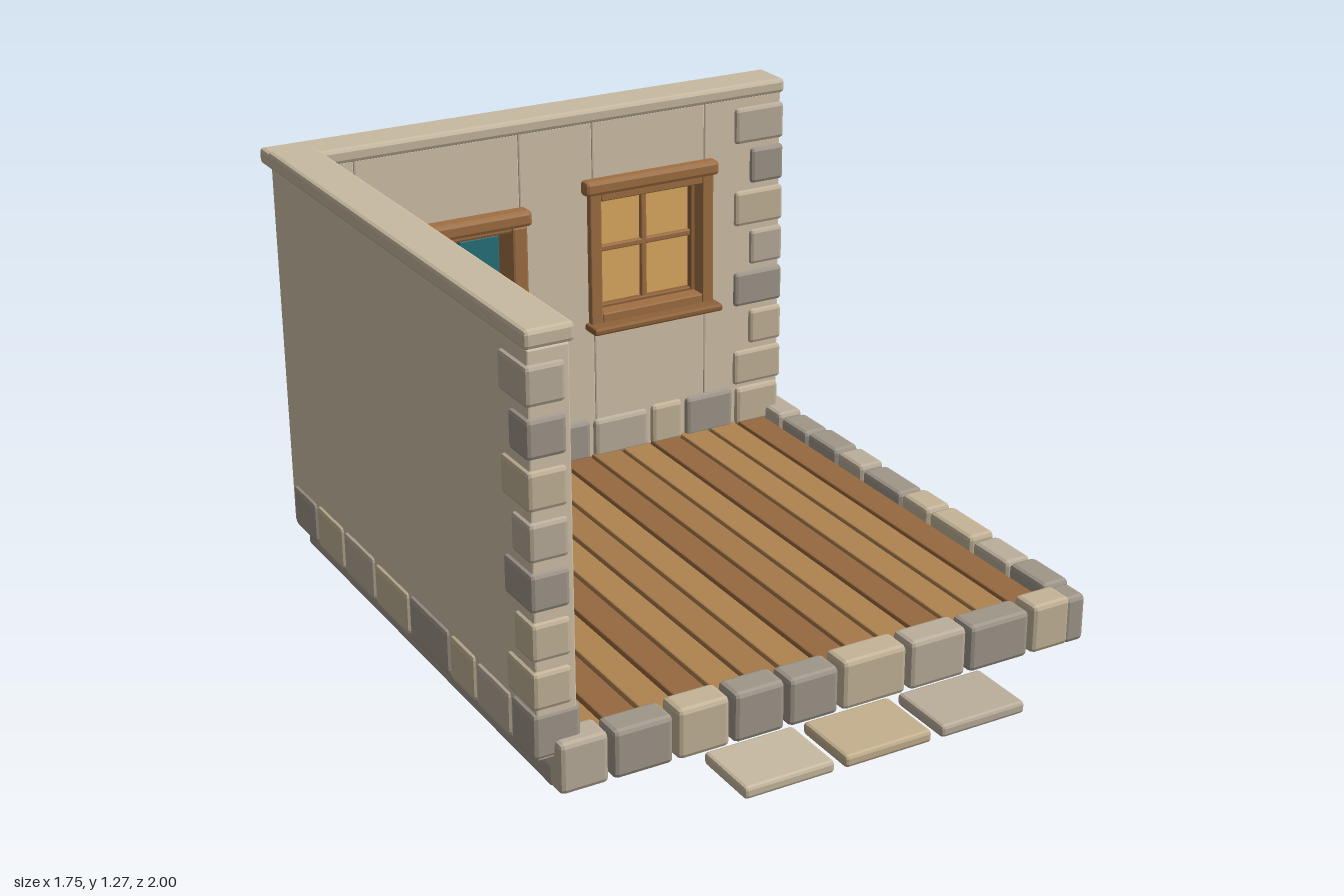
import * as THREE from 'three';
import { RoundedBoxGeometry } from 'three/addons/geometries/RoundedBoxGeometry.js';

const C = {
  wall: 0xd3c4ac, cap: 0xc8baa0, dark: 0x4a3118, frame: 0xa07043, sill: 0x8f6238,
  door: 0x25727a, rail: 0x1f636b, glass: 0xe0ad62, brass: 0xb8892f,
};
const STONE = [0xc4b498, 0xa0978a, 0xbbae9b];
const PLANK = [0xaf8450, 0x966940, 0xa5794a];
const materials = {};
const material = (color) => (materials[color] ??= new THREE.MeshStandardMaterial({ color, flatShading: true }));

// Box with chamfered edges, given by its extents along each axis
function block(parent, name, [x0, x1], [y0, y1], [z0, z1], color, bevel = 0.008) {
  const w = x1 - x0, h = y1 - y0, d = z1 - z0;
  const geometry = bevel
    ? new RoundedBoxGeometry(w, h, d, 1, Math.min(bevel, 0.3 * Math.min(w, h, d)))
    : new THREE.BoxGeometry(w, h, d);
  const mesh = new THREE.Mesh(geometry, material(color));
  mesh.name = name;
  mesh.position.set((x0 + x1) / 2, (y0 + y1) / 2, (z0 + z1) / 2);
  parent.add(mesh);
  return mesh;
}

function group(parent, name) {
  const g = new THREE.Group();
  g.name = name;
  parent.add(g);
  return g;
}

// Row of stones between successive joint positions along x or z
function stoneRow(parent, name, axis, joints, y, across, tones) {
  const row = group(parent, name);
  for (let i = 0; i < joints.length - 1; i++) {
    const a = Math.min(joints[i], joints[i + 1]) + 0.007;
    const b = Math.max(joints[i], joints[i + 1]) - 0.007;
    const color = STONE[tones[i % tones.length]];
    const top = [y[0], y[1] - (i % 3 === 1 ? 0.006 : 0)];
    if (axis === 'x') block(row, 'stone', [a, b], top, across, color, 0.014);
    else block(row, 'stone', across, top, [a, b], color, 0.014);
  }
}

function knob(parent, z, dir) {
  const rose = new THREE.Mesh(new THREE.CylinderGeometry(0.019, 0.019, 0.008, 12), material(C.brass));
  rose.rotation.x = Math.PI / 2;
  rose.position.set(-0.215, 0.475, z + dir * 0.004);
  rose.name = 'knobPlate';
  const ball = new THREE.Mesh(new THREE.SphereGeometry(0.016, 10, 8), material(C.brass));
  ball.position.set(-0.215, 0.475, z + dir * 0.02);
  ball.name = 'doorKnob';
  parent.add(rose, ball);
}

// Four bars around an opening
function surround(parent, name, [x0, x1], [y0, y1], z, t, color) {
  block(parent, name, [x0, x0 + t], [y0, y1], z, color, 0.004);
  block(parent, name, [x1 - t, x1], [y0, y1], z, color, 0.004);
  block(parent, name, [x0 + t, x1 - t], [y1 - t, y1], z, color, 0.004);
  block(parent, name, [x0 + t, x1 - t], [y0, y0 + t], z, color, 0.004);
}

export function createModel() {
  const root = new THREE.Group();
  root.name = 'cottageRoom';

  // Floor: slab, dark underlay and planks running front to back
  const floor = group(root, 'floor');
  block(floor, 'baseSlab', [-0.82, 0.83], [0, 0.07], [-0.94, 0.7], 0xa0978a, 0.012);
  block(floor, 'underlay', [-0.79, 0.79], [0.07, 0.085], [-0.92, 0.67], C.dark, 0);
  const shades = [0, 1, 0, 1, 0, 2, 0, 1, 2, 0, 1, 0, 0, 1];
  shades.forEach((s, i) => {
    const x = -0.743 + i * 0.1088;
    block(floor, 'floorPlank', [x + 0.006, x + 0.103], [0.08, 0.112], [-0.9, 0.66], PLANK[s], 0.005);
  });

  // Stone edging along the open sides
  stoneRow(root, 'frontEdging', 'x', [-0.825, -0.67, -0.48, -0.31, -0.14, 0.03, 0.25, 0.45, 0.665, 0.81],
    [0, 0.148], [0.655, 0.75], [2, 1, 0, 1, 1, 0, 2, 1, 0]);
  block(root, 'cornerStone', [0.785, 0.855], [0, 0.145], [0.66, 0.75], STONE[1], 0.014);
  stoneRow(root, 'sideEdging', 'z', [0.66, 0.48, 0.303, 0.08, -0.068, -0.283, -0.43, -0.605, -0.765, -0.945],
    [0, 0.147], [0.78, 0.872], [1, 2, 0, 0, 1, 2, 1, 1, 2]);

  // Back wall panels around the door and window openings
  const back = group(root, 'backWall');
  const wz = [-0.98, -0.87];
  const panels = [
    [[-0.76, -0.632], [0.1, 1.22]], [[-0.632, -0.1], [0.93, 1.22]], [[-0.1, 0.15], [0.1, 1.22]],
    [[0.15, 0.55], [1.0, 1.22]], [[0.15, 0.55], [0.1, 0.57]], [[0.55, 0.83], [0.1, 1.22]],
  ];
  panels.forEach(([x, y]) => block(back, 'wallPanel', x, y, wz, C.wall, 0.005));
  block(back, 'backCap', [-0.87, 0.84], [1.215, 1.262], [-1, -0.86], C.cap, 0.012);
  stoneRow(back, 'backPlinth', 'x', [-0.1, 0.132, 0.342, 0.47, 0.66, 0.835], [0.1, 0.238], [-0.997, -0.855], [1, 2, 0, 1, 0]);
  block(back, 'plinthStone', [-0.745, -0.65], [0.1, 0.235], [-0.95, -0.855], STONE[1], 0.014);

  // Left-hand wall
  const side = group(root, 'sideWall');
  block(side, 'wallPanel', [-0.865, -0.75], [0.1, 1.22], [-0.92, 0.715], C.wall, 0.005);
  block(side, 'sideCap', [-0.873, -0.735], [1.218, 1.27], [-0.925, 0.72], C.cap, 0.012);
  stoneRow(side, 'sidePlinth', 'z', [0.725, 0.58, 0.372, 0.21, -0.053, -0.29, -0.515, -0.718, -0.9],
    [0.1, 0.236], [-0.876, -0.738], [1, 2, 0, 1, 0, 2, 0, 1]);

  // Corner stones at both free wall ends, alternately long and short
  const quoins = group(root, 'quoins');
  const tones = [0, 0, 1, 2, 0, 1, 2];
  tones.forEach((t, i) => {
    const y = 0.302 + i * 0.1375, long = i % 2 === 0;
    block(quoins, 'quoin', [long ? 0.66 : 0.718, 0.838], [y - 0.059, y + 0.059], [-0.97, -0.858], STONE[t], 0.012);
    block(quoins, 'quoin', [-0.876, -0.765], [y - 0.054, y + 0.054], [long ? 0.57 : 0.62, 0.726], STONE[t], 0.012);
  });

  // Door frame
  const door = group(root, 'door');
  block(door, 'doorJamb', [-0.645, -0.592], [0.1, 0.935], [-0.995, -0.843], C.frame);
  block(door, 'doorJamb', [-0.14, -0.087], [0.1, 0.935], [-0.995, -0.843], C.frame);
  block(door, 'doorHead', [-0.645, -0.087], [0.915, 0.95], [-0.995, -0.85], C.frame);
  block(door, 'doorLintel', [-0.655, -0.08], [0.937, 0.987], [-0.9, -0.82], C.frame, 0.012);
  block(door, 'threshold', [-0.6, -0.13], [0.09, 0.112], [-0.985, -0.86], C.sill, 0.005);

  // Door leaf: three boards, a rail, a small window and knobs
  for (let i = 0; i < 3; i++) {
    const x = -0.575 + i * 0.142;
    block(door, 'doorBoard', [x, x + 0.136], [0.115, 0.9], [-0.945, -0.905], C.door, 0.006);
  }
  block(door, 'doorBacking', [-0.57, -0.16], [0.12, 0.895], [-0.935, -0.915], C.rail, 0);
  block(door, 'doorRail', [-0.567, -0.163], [0.228, 0.265], [-0.91, -0.89], C.rail, 0.005);
  surround(door, 'doorWindowFrame', [-0.482, -0.25], [0.568, 0.797], [-0.91, -0.885], 0.012, C.frame);
  block(door, 'doorWindowPane', [-0.475, -0.257], [0.575, 0.79], [-0.91, -0.896], C.glass, 0);
  block(door, 'doorWindowBar', [-0.373, -0.359], [0.578, 0.787], [-0.9, -0.888], C.frame, 0.003);
  block(door, 'doorWindowBar', [-0.472, -0.26], [0.676, 0.69], [-0.9, -0.888], C.frame, 0.003);
  knob(door, -0.905, 1);
  knob(door, -0.945, -1);

  // Window: outer frame, sash, pane and crossing bars
  const win = group(root, 'window');
  surround(win, 'windowFrame', [0.13, 0.572], [0.555, 1.005], [-0.992, -0.848], 0.04, C.frame);
  block(win, 'windowHead', [0.11, 0.585], [0.99, 1.038], [-0.9, -0.832], C.frame, 0.012);
  block(win, 'windowSill', [0.118, 0.582], [0.542, 0.566], [-0.9, -0.803], C.sill, 0.007);
  surround(win, 'windowSash', [0.168, 0.534], [0.59, 0.985], [-0.95, -0.9], 0.016, C.sill);
  block(win, 'windowPane', [0.175, 0.527], [0.6, 0.975], [-0.93, -0.92], C.glass, 0);
  block(win, 'windowBar', [0.341, 0.361], [0.6, 0.975], [-0.944, -0.906], C.frame, 0.004);
  block(win, 'windowBar', [0.178, 0.524], [0.779, 0.799], [-0.944, -0.906], C.frame, 0.004);

  // Stepping stones in front
  [-0.4225, -0.118, 0.186].forEach((x, i) =>
    block(root, 'steppingStone', [x, x + 0.272], [0, 0.036], [0.79, 1], [0xc8baa0, 0xc4b08e, 0xbbae9b][i], 0.01));

  return root;
}
